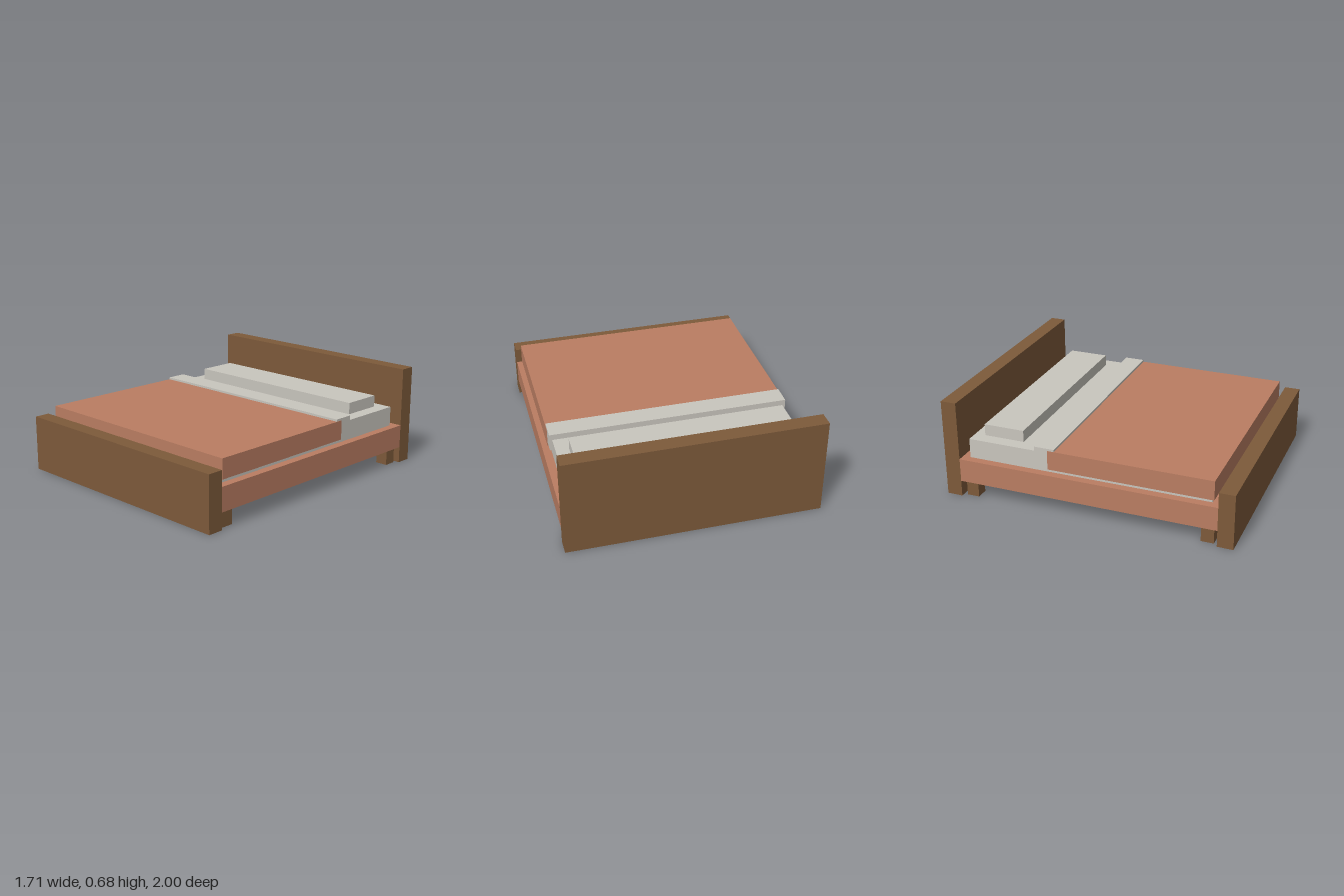
import * as THREE from 'three';

export function createModel() {
  const bed = new THREE.Group();
  bed.name = 'bed';

  const material = (name, color) => {
    const m = new THREE.MeshStandardMaterial({ color });
    m.name = name;
    return m;
  };
  const wood = material('brown wood', 0x7d5a3a);
  const fabric = material('terracotta fabric', 0xba7d62);
  const linen = material('pale linen', 0xc9c6be);

  // Box given by its extents along each axis
  const box = (name, mat, [x0, x1], [y0, y1], [z0, z1]) => {
    const mesh = new THREE.Mesh(new THREE.BoxGeometry(x1 - x0, y1 - y0, z1 - z0), mat);
    mesh.position.set((x0 + x1) / 2, (y0 + y1) / 2, (z0 + z1) / 2);
    mesh.name = name;
    bed.add(mesh);
  };

  // Frame
  box('headboard', wood, [-0.855, 0.855], [0, 0.68], [-1, -0.893]);
  box('footboard', wood, [-0.855, 0.855], [0, 0.38], [0.893, 1]);
  box('base', fabric, [-0.855, 0.855], [0.113, 0.275], [-0.893, 0.893]);

  // Four short legs, inset from the base corners
  for (const [side, x] of [['Left', 0.784], ['Right', -0.784]]) {
    for (const [end, z] of [['front', 0.823], ['back', -0.823]]) {
      box(`${end}${side}Leg`, wood, [x - 0.043, x + 0.043], [0, 0.113], [z - 0.043, z + 0.043]);
    }
  }

  // Bedding
  box('mattress', linen, [-0.8, 0.8], [0.275, 0.41], [-0.84, 0.84]);
  box('blanket', fabric, [-0.821, 0.821], [0.302, 0.435], [-0.265, 0.857]);
  box('blanketFold', linen, [-0.819, 0.819], [0.33, 0.45], [-0.357, -0.217]);
  box('pillow', linen, [-0.711, 0.711], [0.41, 0.49], [-0.768, -0.485]);

  return bed;
}
